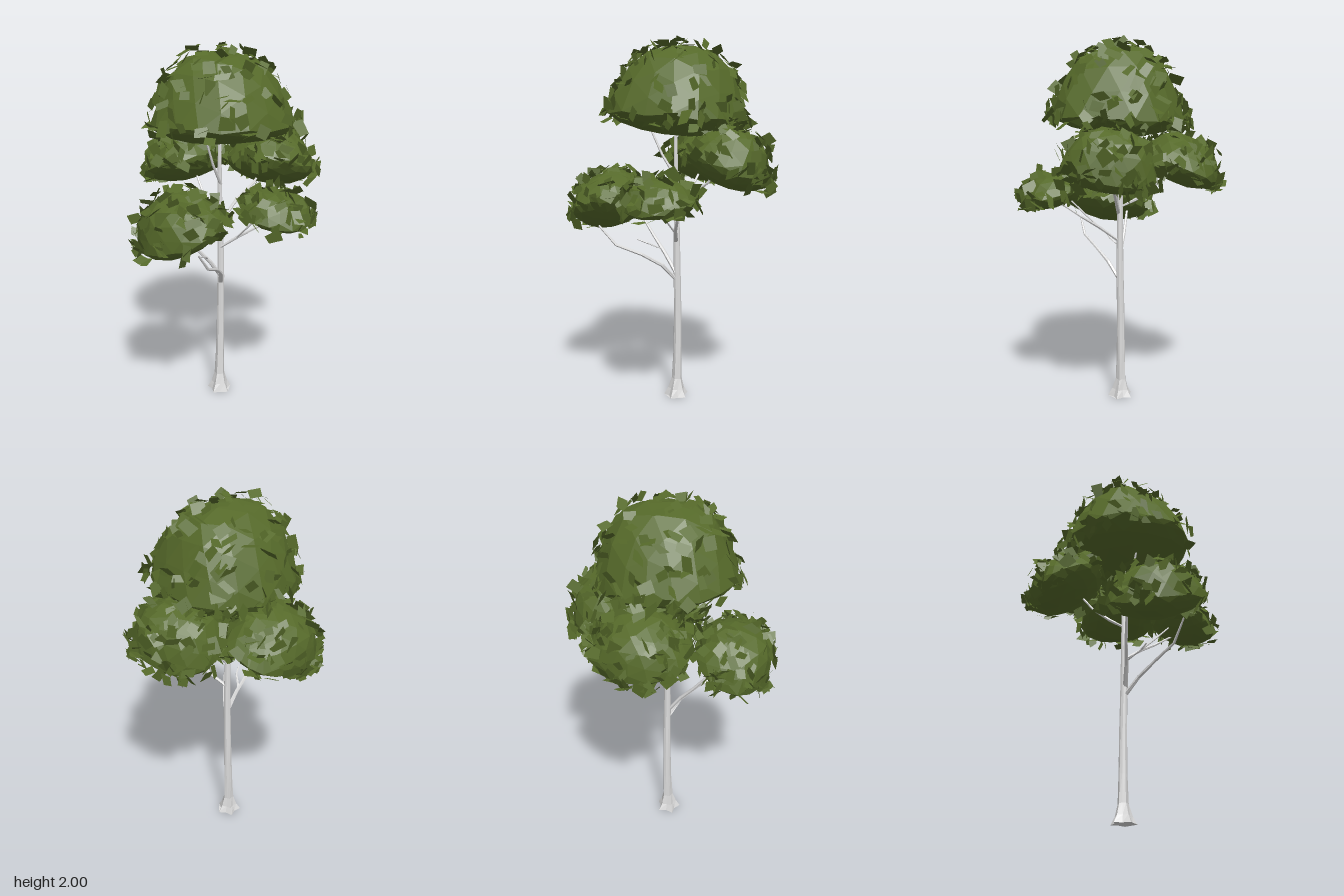
import * as THREE from 'three';

const bark = new THREE.MeshStandardMaterial({ color: 0xdcdcdc, flatShading: true });
bark.name = 'pale bark';
const green = new THREE.MeshStandardMaterial({ color: 0x566a2a, flatShading: true, side: THREE.DoubleSide });
green.name = 'leaf green';

// Small seeded random generator
function seeded(seed) {
  let s = seed;
  return () => {
    s = (s * 1664525 + 1013904223) % 4294967296;
    return s / 4294967296;
  };
}

const V = (x, y, z) => new THREE.Vector3(x, y, z);

// Tapered limb swept through [x, y, z, radius] stations, with optional lobes at the foot
function limb(name, stations, sides, lobe = () => 1) {
  const pts = stations.map(s => V(s[0], s[1], s[2]));
  const pos = [], idx = [];
  stations.forEach((s, i) => {
    const dir = pts[Math.min(i + 1, pts.length - 1)].clone().sub(pts[Math.max(i - 1, 0)]).normalize();
    if (i === 0) dir.set(0, 1, 0);
    const u = V(0, 0, 1).addScaledVector(dir, -dir.z).normalize();
    const w = dir.clone().cross(u);
    for (let k = 0; k < sides; k++) {
      const a = k / sides * Math.PI * 2, r = s[3] * lobe(k, i);
      const p = pts[i].clone().addScaledVector(u, Math.cos(a) * r).addScaledVector(w, Math.sin(a) * r);
      pos.push(p.x, p.y, p.z);
      if (i) {
        const b = i * sides + k, c = i * sides + (k + 1) % sides;
        idx.push(b - sides, c - sides, c, b - sides, c, b);
      }
    }
  });
  const last = (stations.length - 1) * sides;
  for (let k = 1; k < sides - 1; k++) idx.push(last, last + k, last + k + 1, 0, k + 1, k);
  const geo = new THREE.BufferGeometry();
  geo.setAttribute('position', new THREE.Float32BufferAttribute(pos, 3));
  geo.setIndex(idx);
  geo.computeVertexNormals();
  const mesh = new THREE.Mesh(geo, bark);
  mesh.name = name;
  return mesh;
}

// Domed leaf mass: round above, shallow below, with loose leaf cards half buried in its surface
function clump({ name, at, rx, rz, up, down, tiltX, tiltZ, leaves, seed }) {
  const rnd = seeded(seed);
  const group = new THREE.Group();
  group.name = name;
  group.position.set(...at);
  group.rotation.set(tiltX, 0, tiltZ);

  // Slightly tapered dome over a flattened underside
  const shape = d => {
    const bump = 1 + 0.025 * Math.sin(d.x * 5 + seed) + 0.025 * Math.sin(d.z * 6 + seed * 2);
    const taper = d.y > 0 ? 1 - 0.09 * Math.sin(Math.PI * d.y) : 1;
    const y = d.y > 0 ? d.y * up : -down * Math.pow(-d.y, 1.25);
    return V(d.x * rx * taper, y, d.z * rz * taper).multiplyScalar(bump);
  };

  const geo = new THREE.IcosahedronGeometry(1, 2);
  const p = geo.attributes.position;
  for (let i = 0; i < p.count; i++) {
    const q = shape(V(p.getX(i), p.getY(i), p.getZ(i)).normalize());
    p.setXYZ(i, q.x, q.y, q.z);
  }
  geo.computeVertexNormals();
  const body = new THREE.Mesh(geo, green);
  body.name = name + 'Body';

  const pos = [];
  for (let i = 0; i < leaves; i++) {
    // Even spread over the dome, a few leaves around the lower rim
    const y = -0.45 + 1.45 * rnd(), a = rnd() * Math.PI * 2, h = Math.sqrt(1 - y * y);
    const d = V(Math.cos(a) * h, y, Math.sin(a) * h);
    const n = V(d.x / rx, d.y / (y > 0 ? up : down), d.z / rz).normalize();
    const c = shape(d).addScaledVector(n, 0.03 * rnd());
    n.add(V(rnd() - 0.5, rnd() - 0.5, rnd() - 0.5).multiplyScalar(1.9)).normalize();
    const u = V(rnd() - 0.5, rnd() - 0.5, rnd() - 0.5).cross(n).normalize();
    const w = n.clone().cross(u);
    const len = 0.03 + 0.016 * rnd(), wid = 0.016 + 0.014 * rnd(), skew = (rnd() - 0.5) * 0.035;
    const corner = (s, t) => c.clone().addScaledVector(u, s).addScaledVector(w, t);
    const q = [corner(-len, -wid), corner(len * 0.8, -wid + skew), corner(len, wid), corner(-len * 0.7 + skew, wid)];
    for (const k of [0, 1, 2, 0, 2, 3]) pos.push(q[k].x, q[k].y, q[k].z);
  }
  const leafGeo = new THREE.BufferGeometry();
  leafGeo.setAttribute('position', new THREE.Float32BufferAttribute(pos, 3));
  leafGeo.computeVertexNormals();
  const cards = new THREE.Mesh(leafGeo, green);
  cards.name = name + 'Leaves';
  group.add(body, cards);
  return group;
}

export function createModel() {
  const tree = new THREE.Group();
  tree.name = 'tree';

  // Trunk with a flared, lobed root foot
  tree.add(limb('trunk', [
    [0.012, 0, -0.01, 0.068], [0.012, 0.04, -0.01, 0.046], [0.014, 0.1, -0.012, 0.029],
    [0.018, 0.25, -0.012, 0.024], [0.02, 0.5, -0.01, 0.021], [0.018, 0.72, -0.006, 0.02],
    [0.016, 0.95, -0.006, 0.017], [0.012, 1.2, -0.008, 0.013], [0.008, 1.52, -0.005, 0.009],
  ], 10, (k, i) => 1 + (k % 2 ? -0.32 : 0.05) * Math.max(0, 1 - i / 4)));

  // Branches reaching up into each leaf mass
  const branches = {
    leftLowBranch: [[0.012, 0.68, 0, 0.014], [-0.04, 0.765, 0.06, 0.011], [-0.13, 0.83, 0.13, 0.009], [-0.25, 0.885, 0.2, 0.008], [-0.34, 0.99, 0.23, 0.005]],
    leftHighBranch: [[0.012, 0.72, 0, 0.014], [-0.06, 0.82, -0.01, 0.011], [-0.14, 0.91, -0.03, 0.009], [-0.25, 1.05, -0.05, 0.006]],
    leftTwig: [[-0.08, 0.84, -0.01, 0.007], [-0.14, 0.88, 0.05, 0.005], [-0.19, 0.9, 0.07, 0.004]],
    frontBranch: [[0.014, 0.89, 0, 0.012], [0.06, 0.97, 0.1, 0.009], [0.12, 1.04, 0.2, 0.007], [0.15, 1.13, 0.33, 0.005]],
    frontTwig: [[0.05, 0.96, 0.09, 0.006], [0.04, 1.04, 0.18, 0.005], [0.05, 1.13, 0.27, 0.004]],
    rightBranch: [[0.014, 1.04, 0, 0.011], [0.11, 1.15, 0.02, 0.009], [0.22, 1.23, 0.04, 0.007], [0.3, 1.32, 0.04, 0.005]],
    backBranch: [[0.014, 1.08, -0.01, 0.011], [0.02, 1.12, -0.09, 0.009], [0.03, 1.18, -0.18, 0.007], [0.05, 1.3, -0.28, 0.005]],
    crownBranch: [[0.012, 1.25, 0, 0.009], [-0.06, 1.37, 0.02, 0.007], [-0.13, 1.53, 0.04, 0.005]],
  };
  for (const [name, stations] of Object.entries(branches)) tree.add(limb(name, stations, 6));

  // Leaf masses: a broad crown and four lower ones drooping outward
  [
    { name: 'crown', at: [0.02, 1.575, 0], rx: 0.375, rz: 0.37, up: 0.385, down: 0.105, tiltX: -0.06, tiltZ: -0.06, leaves: 190, seed: 11 },
    { name: 'leftClump', at: [-0.335, 1.085, 0.08], rx: 0.22, rz: 0.27, up: 0.19, down: 0.11, tiltX: -0.2, tiltZ: 0.42, leaves: 120, seed: 23 },
    { name: 'rightClump', at: [0.34, 1.32, 0.045], rx: 0.225, rz: 0.255, up: 0.2, down: 0.11, tiltX: -0.18, tiltZ: -0.35, leaves: 125, seed: 37 },
    { name: 'frontClump', at: [0.09, 1.155, 0.355], rx: 0.19, rz: 0.185, up: 0.115, down: 0.07, tiltX: 0.25, tiltZ: 0, leaves: 80, seed: 41 },
    { name: 'backClump', at: [0.06, 1.31, -0.33], rx: 0.27, rz: 0.225, up: 0.165, down: 0.1, tiltX: -0.4, tiltZ: 0, leaves: 125, seed: 59 },
  ].forEach(c => tree.add(clump(c)));

  return tree;
}
